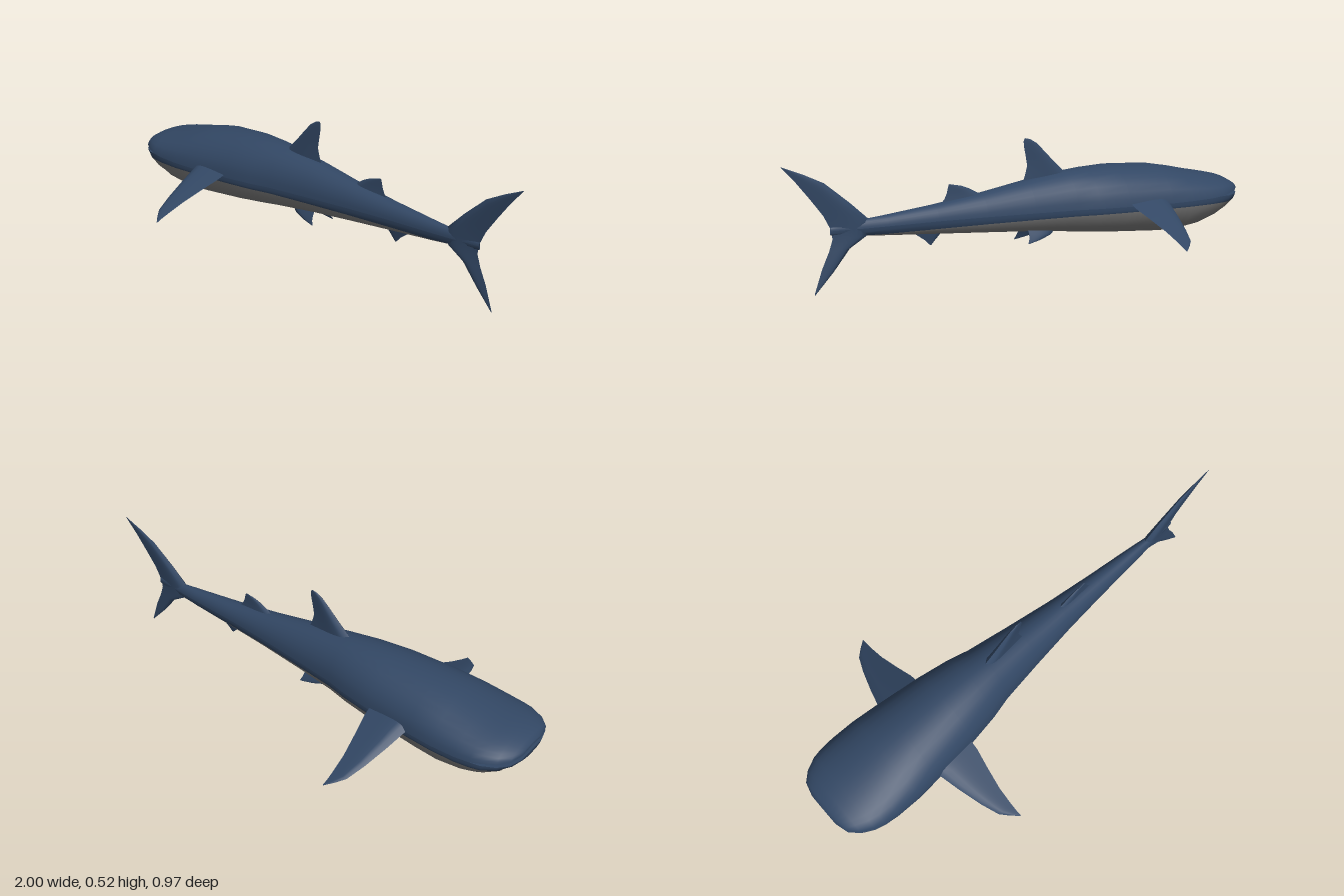
import * as THREE from 'three';

const V = (x, y, z) => new THREE.Vector3(x, y, z);
const lerp = THREE.MathUtils.lerp;

// Smooth surface through rows of points; paint(column) picks a material index
function grid(rows, paint = () => 0) {
  const cols = rows[0].length;
  const geo = new THREE.BufferGeometry().setFromPoints(rows.flat());
  const index = [];
  for (let j = 0; j < cols - 1; j++) {
    geo.addGroup(index.length, (rows.length - 1) * 6, paint(j));
    for (let i = 0; i < rows.length - 1; i++) {
      const a = i * cols + j, b = a + cols;
      index.push(a, b, b + 1, a, b + 1, a + 1);
    }
  }
  geo.setIndex(index);
  geo.computeVertexNormals();
  return geo;
}

// Body stations: x, top, upper lip, lower lip, bottom, half width
const STATIONS = [
  [-1.0, 0.285, 0.268, 0.25, 0.235, 0.07],
  [-0.985, 0.3, 0.266, 0.25, 0.224, 0.125],
  [-0.95, 0.317, 0.262, 0.248, 0.188, 0.16],
  [-0.9, 0.328, 0.257, 0.247, 0.152, 0.185],
  [-0.86, 0.336, 0.249, 0.249, 0.13, 0.195],
  [-0.8, 0.347, 0.245, 0.245, 0.11, 0.2],
  [-0.7, 0.368, 0.242, 0.242, 0.095, 0.199],
  [-0.6, 0.385, 0.24, 0.24, 0.1, 0.19],
  [-0.4, 0.396, 0.24, 0.24, 0.115, 0.167],
  [-0.27, 0.391, 0.24, 0.24, 0.128, 0.145],
  [-0.18, 0.383, 0.24, 0.24, 0.137, 0.122],
  [0, 0.358, 0.24, 0.24, 0.155, 0.095],
  [0.2, 0.325, 0.24, 0.24, 0.17, 0.068],
  [0.4, 0.298, 0.24, 0.24, 0.185, 0.047],
  [0.6, 0.277, 0.238, 0.238, 0.2, 0.029],
  [0.7, 0.268, 0.237, 0.237, 0.208, 0.018],
  [0.82, 0.25, 0.237, 0.237, 0.222, 0.003],
];
const MOUTH = STATIONS.slice(0, 5);
const FLANK = 3, BELLY = 10;

// Angles of the lower shell, with one column lying on the colour line
function lowerAngles([x, , , lip, bottom]) {
  const line = lerp(0.222, 0.207, (x + 1) / 1.7);
  const b = Math.asin(THREE.MathUtils.clamp((lip - line) / (lip - bottom), 0.1, 1));
  const list = [];
  for (let k = 0; k < FLANK; k++) list.push(Math.PI + b * k / FLANK);
  for (let k = 0; k <= BELLY; k++) list.push(Math.PI + b + (Math.PI - 2 * b) * k / BELLY);
  for (let k = 1; k <= FLANK; k++) list.push(2 * Math.PI - b + b * k / FLANK);
  return list;
}

// Close the front of a shell by shrinking its first row to a point
function closeFront(rows, y) {
  rows.unshift(rows[0].map(() => V(-1.0, y, 0)));
  return rows;
}

export function createModel() {
  const model = new THREE.Group();
  const mat = (name, color, side = THREE.FrontSide) => {
    const m = new THREE.MeshStandardMaterial({ color, side });
    m.name = name;
    return m;
  };
  const blue = mat('slate blue skin', 0x324764, THREE.DoubleSide);
  const grey = mat('grey belly', 0x808080, THREE.DoubleSide);
  const add = (name, geo, material, parent = model) => {
    const mesh = new THREE.Mesh(geo, material);
    mesh.name = name;
    parent.add(mesh);
  };

  // Back and upper jaw
  const upper = STATIONS.map(([x, top, lip, , , w]) =>
    Array.from({ length: 17 }, (_, k) => {
      const a = Math.PI * k / 16;
      return V(x, lip + (top - lip) * Math.sin(a), w * Math.cos(a));
    }));
  add('back', grid(closeFront(upper, 0.275)), [blue]);

  // Lower jaw, flanks and belly
  const lower = STATIONS.map((s) => lowerAngles(s).map((a) =>
    V(s[0], s[3] + (s[3] - s[4]) * Math.sin(a), s[5] * Math.cos(a))));
  add('belly', grid(closeFront(lower, 0.243),
    (j) => (j >= FLANK && j < FLANK + BELLY ? 1 : 0)), [blue, grey]);

  // Flat palate and floor inside the mouth slit
  add('palate', grid(MOUTH.map(([x, , lip, , , w]) => [V(x, lip, -w), V(x, lip, w)])), [blue]);
  add('mouthFloor', grid(MOUTH.map(([x, , , lip, , w]) => [V(x, lip, w), V(x, lip, -w)])), [blue]);

  // Fin skinned over stations of [leading point, trailing point, half thickness]
  function fin(name, stations, under = blue) {
    const group = new THREE.Group();
    group.name = name;
    const mid = stations[Math.floor((stations.length - 1) / 2)];
    const span = stations.at(-1)[0].clone().sub(stations[0][0]);
    const n = span.cross(mid[1].clone().sub(mid[0])).normalize();
    for (const s of [1, -1]) {
      const rows = stations.map(([lead, trail, thick]) => {
        const row = Array.from({ length: 9 }, (_, k) => {
          const t = k / 8;
          return lead.clone().lerp(trail, t)
            .addScaledVector(n, s * thick * Math.sin(Math.PI * Math.sqrt(t)));
        });
        return s > 0 ? row : row.reverse();
      });
      add(s * n.y > 0 ? 'upperFace' : 'lowerFace', grid(rows), [s * n.y < -0.1 ? under : blue], group);
    }
    model.add(group);
  }
  // Upright fin from rows of [lead x, lead y, trail x, trail y, half thickness]
  const uprightFin = (name, rows) =>
    fin(name, rows.map(([ax, ay, bx, by, t]) => [V(ax, ay, 0), V(bx, by, 0), t]));

  uprightFin('dorsalFin', [
    [-0.24, 0.34, 0.01, 0.34, 0.02], [-0.19, 0.38, -0.005, 0.375, 0.017],
    [-0.14, 0.425, -0.016, 0.415, 0.013], [-0.1, 0.465, -0.01, 0.45, 0.01],
    [-0.06, 0.503, -0.001, 0.495, 0.006], [-0.03, 0.52, 0, 0.513, 0.003],
    [-0.01, 0.525, -0.004, 0.523, 0],
  ]);
  uprightFin('secondDorsalFin', [
    [0.17, 0.31, 0.375, 0.29, 0.014], [0.205, 0.325, 0.352, 0.315, 0.01],
    [0.245, 0.347, 0.342, 0.337, 0.007], [0.28, 0.36, 0.338, 0.355, 0.004],
    [0.33, 0.37, 0.334, 0.368, 0],
  ]);
  uprightFin('analFin', [
    [0.35, 0.205, 0.5, 0.205, 0.012], [0.375, 0.18, 0.47, 0.185, 0.008],
    [0.395, 0.16, 0.44, 0.165, 0.004], [0.412, 0.142, 0.42, 0.145, 0],
  ]);
  uprightFin('tailFin', [
    [1.0, 0.485, 1.0, 0.483, 0], [0.92, 0.453, 0.945, 0.423, 0.004],
    [0.84, 0.415, 0.892, 0.357, 0.008], [0.745, 0.338, 0.845, 0.295, 0.012],
    [0.67, 0.27, 0.817, 0.24, 0.016], [0.67, 0.21, 0.812, 0.205, 0.016],
    [0.745, 0.165, 0.827, 0.16, 0.011], [0.81, 0.085, 0.855, 0.1, 0.006],
    [0.885, 0.005, 0.887, 0.008, 0],
  ]);

  // Paired fins
  for (const side of [1, -1]) {
    const label = side > 0 ? 'left' : 'right';
    const pectoral = [
      [-0.6, -0.405, 0.14, 0.018], [-0.58, -0.407, 0.2, 0.016], [-0.56, -0.42, 0.27, 0.013],
      [-0.53, -0.434, 0.36, 0.009], [-0.5, -0.437, 0.43, 0.006], [-0.47, -0.437, 0.46, 0.003],
      [-0.438, -0.435, 0.487, 0],
    ].map(([a, b, z, t]) => {
      const y = 0.235 - 0.43 * (z - 0.2);
      return [V(a, y, z * side), V(b, y, z * side), t];
    });
    fin(label + 'PectoralFin', pectoral, grey);

    const pelvic = [
      [-0.14, 0.165, 0.0, 0.17, 0.03, 0.008], [-0.1, 0.138, 0.0, 0.148, 0.042, 0.006],
      [-0.05, 0.123, 0.004, 0.13, 0.05, 0.003], [0.008, 0.112, 0.012, 0.114, 0.056, 0],
    ].map(([ax, ay, bx, by, z, t]) => [V(ax, ay, z * side), V(bx, by, z * side), t]);
    fin(label + 'PelvicFin', pelvic);
  }
  return model;
}
